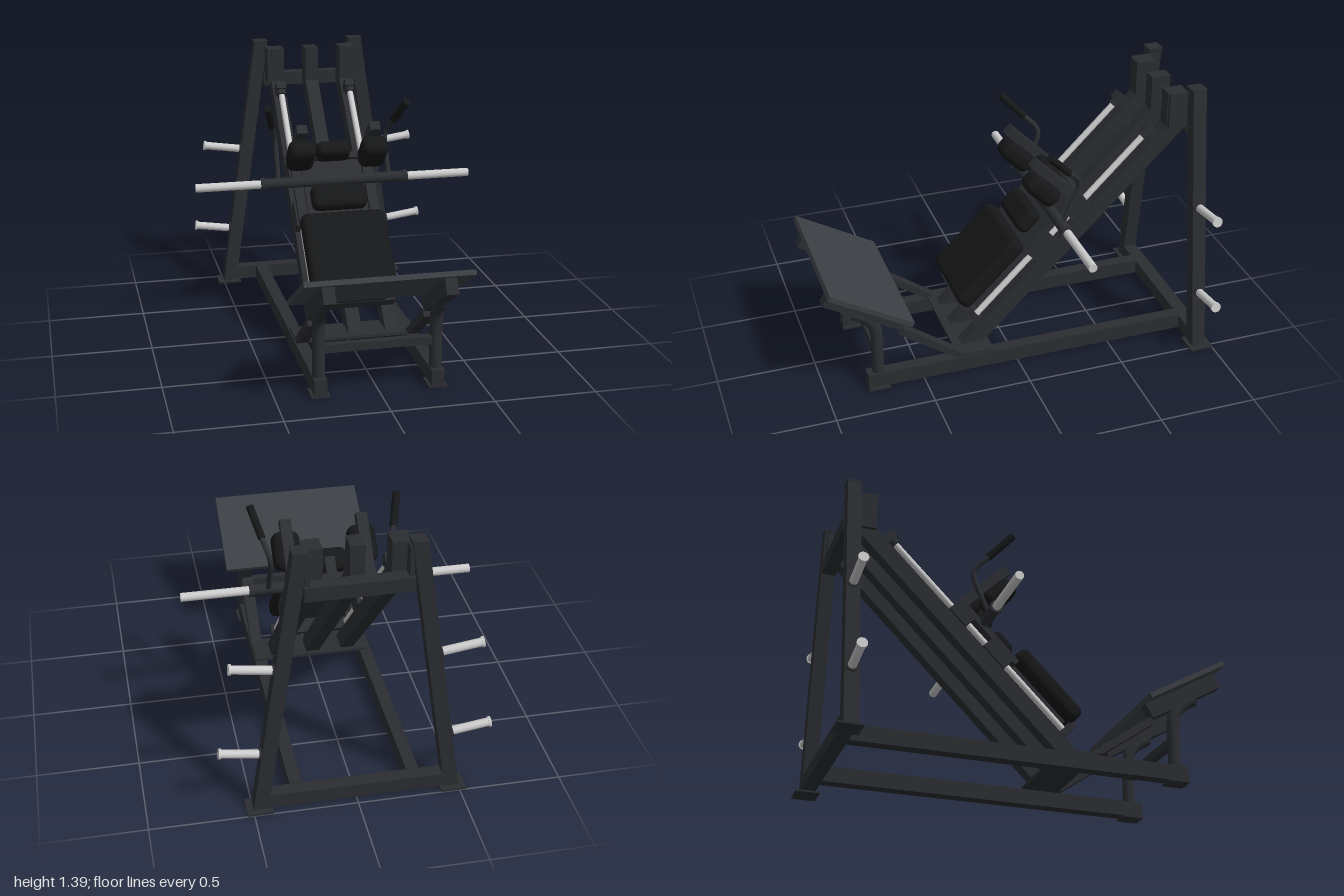
import * as THREE from 'three';
import { RoundedBoxGeometry } from 'three/addons/geometries/RoundedBoxGeometry.js';

const FRAME = new THREE.MeshStandardMaterial({ color: 0x2b2d31 });
const PAD = new THREE.MeshStandardMaterial({ color: 0x161718 });
const DECK = new THREE.MeshStandardMaterial({ color: 0x3b3e42 });
const STEEL = new THREE.MeshStandardMaterial({ color: 0xcccccc });
const V = (x, y, z) => new THREE.Vector3(x, y, z);

function add(parent, name, geo, mat = FRAME) {
  const m = new THREE.Mesh(geo, mat);
  m.name = name;
  parent.add(m);
  return m;
}

// Box given by its size and centre
function box(parent, name, size, pos, mat) {
  const m = add(parent, name, new THREE.BoxGeometry(...size), mat);
  m.position.set(...pos);
  return m;
}

// Upholstered cushion
function cushion(parent, name, size, pos, r) {
  const m = add(parent, name, new RoundedBoxGeometry(...size, 4, r), PAD);
  m.position.set(...pos);
  return m;
}

// Round bar between two points
function rod(parent, name, a, b, r, mat = STEEL) {
  const m = add(parent, name, new THREE.CylinderGeometry(r, r, a.distanceTo(b), 24), mat);
  m.position.copy(a).add(b).multiplyScalar(0.5);
  m.quaternion.setFromUnitVectors(V(0, 1, 0), b.clone().sub(a).normalize());
  return m;
}

function tube(parent, name, pts, r, mat) {
  return add(parent, name, new THREE.TubeGeometry(new THREE.CatmullRomCurve3(pts), 32, r, 16), mat);
}

function prism(points, depth) {
  const shape = new THREE.Shape(points.map(p => new THREE.Vector2(...p)));
  return new THREE.ExtrudeGeometry(shape, { depth, bevelEnabled: false }).translate(0, 0, -depth / 2);
}

// Side profile of [z, y] points, extruded across x
function sideProfile(parent, name, points, width, x) {
  const m = add(parent, name, prism(points, width).rotateY(-Math.PI / 2));
  m.position.x = x;
  return m;
}

function buildBase(g) {
  box(g, 'rearCrossbar', [0.88, 0.07, 0.07], [0, 0.05, -0.935]);
  box(g, 'frontCrossbar', [0.52, 0.04, 0.04], [0, 0.23, 0.735]);
  box(g, 'railBasePlate', [0.62, 0.014, 0.19], [0, 0.097, 0.225]);
  box(g, 'topCrossbar', [0.5, 0.07, 0.07], [0, 1.175, -0.935]);
  for (const s of [-1, 1]) {
    box(g, 'baseRail', [0.062, 0.08, 1.69], [s * 0.285, 0.05, -0.055]);
    box(g, 'frontFoot', [0.09, 0.01, 0.11], [s * 0.285, 0.005, 0.735]);
    box(g, 'rearFoot', [0.125, 0.01, 0.12], [s * 0.47, 0.005, -0.94]);
    // Leaning rear upright with cap
    const upright = add(g, 'rearUpright', prism([
      [s * 0.43, 0.01], [s * 0.5, 0.01], [s * 0.3, 1.385], [s * 0.23, 1.385]], 0.07));
    upright.position.z = -0.935;
    box(g, 'uprightCap', [0.075, 0.008, 0.075], [s * 0.265, 1.386, -0.935]);
    box(g, 'uprightGusset', [0.022, 0.19, 0.15], [s * 0.234, 1.265, -0.88]);
    // Storage pegs, square to the upright
    for (const [x, y, len] of [[0.43, 0.31, 0.225], [0.36, 0.773, 0.235]]) {
      const at = d => V(s * (x + d * 0.99), y + d * 0.144, -0.935);
      rod(g, 'storagePeg', at(0), at(len), 0.021);
      rod(g, 'pegEnd', at(len - 0.012), at(len), 0.026);
      rod(g, 'pegCollar', at(0.015), at(0.035), 0.03, FRAME);
    }
  }
  // Three inclined rails with upright heads
  for (const x of [-0.19, 0, 0.19]) {
    sideProfile(g, 'inclineRail', [[0.28, 0.1], [0.16, 0.1], [-0.9, 1.16],
      [-0.9, 1.36], [-0.8, 1.36], [-0.8, 1.18]], 0.07, x);
  }
}

function buildFootPlatform(g) {
  const tilt = Math.PI / 6;
  const deck = box(g, 'footPlate', [0.8, 0.025, 0.47], [0, 0.522, 0.774], DECK);
  deck.rotation.x = -tilt;
  for (const s of [-1, 1]) {
    const x = s * 0.285;
    box(g, 'footPlateBeam', [0.058, 0.08, 0.44], [x, 0.47, 0.787]).rotation.x = -tilt;
    tube(g, 'footPlatePost', [V(x, 0.08, 0.732), V(x, 0.2, 0.732), V(x, 0.3, 0.732),
      V(x, 0.37, 0.745), V(x, 0.42, 0.785), V(x, 0.46, 0.85)], 0.031, FRAME);
    sideProfile(g, 'footPlateBrace', [[0.34, 0.1], [0.28, 0.1], [0.6, 0.33], [0.625, 0.3]].reverse(), 0.058, x);
  }
}

// Local y runs up the incline, local z points away from the rails
function buildSled(g) {
  box(g, 'lowerStop', [0.44, 0.035, 0.06], [0, 0.16, 0.035]);
  box(g, 'lowerBumper', [0.33, 0.04, 0.06], [0, 0.165, 0.095]);
  box(g, 'sledPlate', [0.32, 0.78, 0.025], [0, 0.59, 0.085]);
  box(g, 'shoulderCrossbar', [0.4, 0.04, 0.07], [0, 0.975, 0.085]);
  box(g, 'headRestArm', [0.05, 0.04, 0.14], [0, 0.985, 0.13]);
  cushion(g, 'backPad', [0.44, 0.44, 0.095], [0, 0.39, 0.148], 0.035);
  cushion(g, 'neckPad', [0.29, 0.135, 0.085], [0, 0.707, 0.148], 0.035);
  cushion(g, 'headRest', [0.18, 0.085, 0.115], [0, 0.955, 0.195], 0.035);
  for (const s of [-1, 1]) {
    const x = s * 0.19;
    rod(g, 'guideRod', V(x, 0.16, 0.04), V(x, 1.46, 0.04), 0.016);
    box(g, 'upperRodMount', [0.05, 0.045, 0.075], [x, 1.46, 0.035]);
    rod(g, 'rodStop', V(x, 1.41, 0.04), V(x, 1.44, 0.04), 0.026, FRAME);
    box(g, 'lowerBearing', [0.07, 0.15, 0.07], [x, 0.665, 0.043]);
    box(g, 'upperBearing', [0.07, 0.12, 0.07], [x, 0.93, 0.043]);
    box(g, 'sledSideBeam', [0.05, 0.42, 0.03], [x, 0.78, 0.09]);
    box(g, 'shoulderArm', [0.055, 0.05, 0.36], [x, 0.968, 0.23]);
    cushion(g, 'shoulderPad', [0.14, 0.105, 0.19], [x, 0.893, 0.275], 0.04);
  }
}

function buildLoadBar(g) {
  const at = x => V(x, 0.765, -0.225);
  rod(g, 'loadBar', at(-0.39), at(0.39), 0.028, FRAME);
  for (const s of [-1, 1]) {
    rod(g, 'weightSleeve', at(s * 0.38), at(s * 0.727), 0.022);
    rod(g, 'sleeveCollar', at(s * 0.365), at(s * 0.39), 0.034, FRAME);
    // Bent handle with a thicker grip
    tube(g, 'handle', [V(s * 0.295, 0.77, -0.235), V(s * 0.293, 0.88, -0.285), V(s * 0.293, 0.96, -0.315),
      V(s * 0.3, 1.0, -0.31), V(s * 0.325, 1.07, -0.245), V(s * 0.362, 1.18, -0.14)], 0.013, FRAME);
    rod(g, 'handleGrip', V(s * 0.323, 1.065, -0.25), V(s * 0.363, 1.185, -0.135), 0.019, PAD);
  }
}

export function createModel() {
  const model = new THREE.Group();
  model.name = 'sledSquatMachine';
  const part = (name, build) => {
    const g = new THREE.Group();
    g.name = name;
    build(g);
    model.add(g);
    return g;
  };
  part('baseFrame', buildBase);
  part('footPlatform', buildFootPlatform);
  const sled = part('sled', buildSled);
  sled.position.set(0, 0.1, 0.28);
  sled.rotation.x = -Math.PI / 4;
  part('loadBarAssembly', buildLoadBar);
  return model;
}
